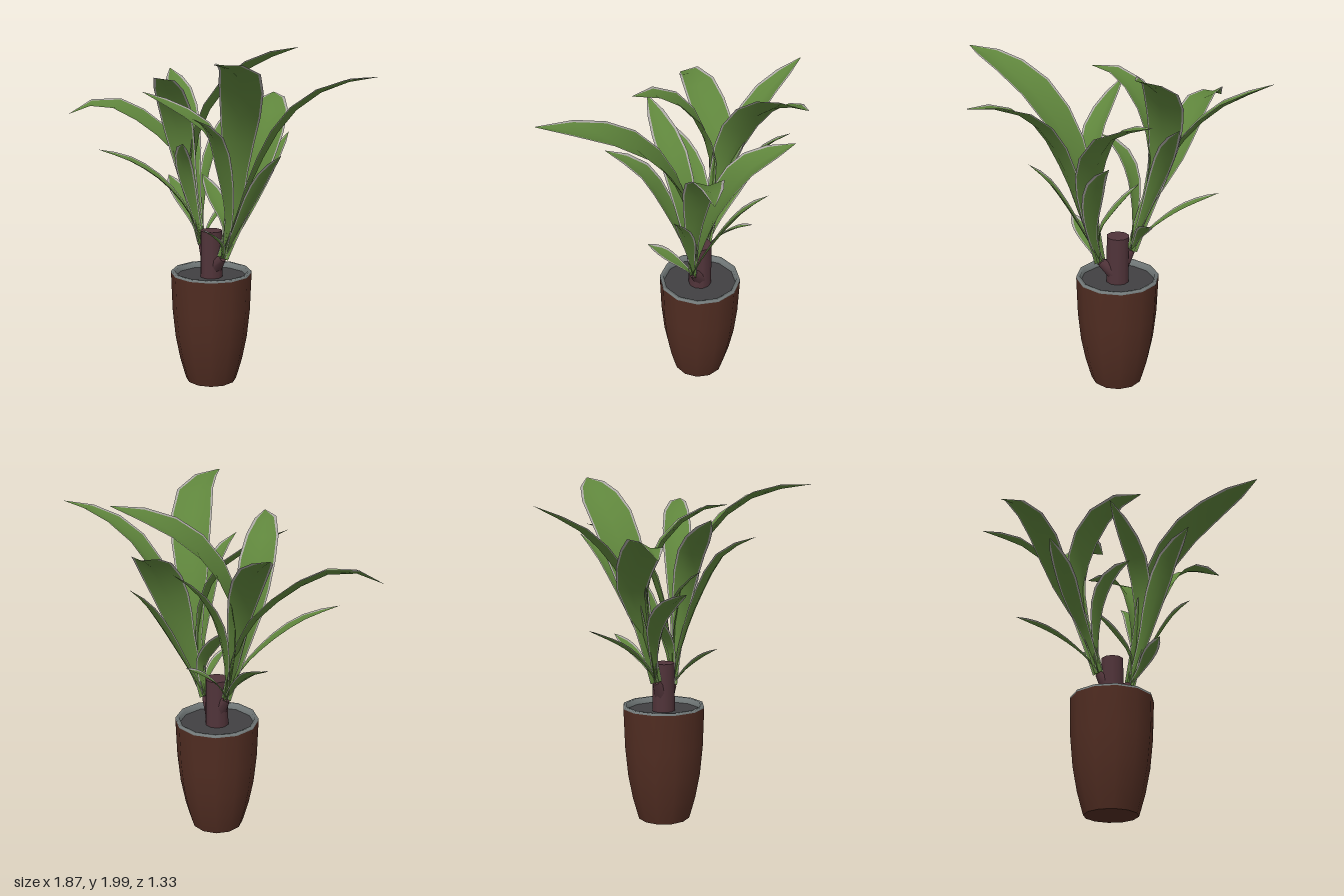
import * as THREE from 'three';

const mat = (name, color, side = THREE.FrontSide) => {
  const m = new THREE.MeshStandardMaterial({ color, side });
  m.name = name;
  return m;
};

const CX = -0.04, CZ = -0.135; // pot axis
const RIGHT = [-0.12, 0.83, -0.16], LEFT = [0.06, 0.78, -0.1]; // shoot tips

// Each leaf: half width, roll about the midrib, then midrib points from above the shoot to the tip
const rightLeaves = [
  [0.09, 0.1, [-0.2, 1.1, -0.21], [-0.29, 1.4, -0.29], [-0.46, 1.68, -0.46], [-0.67, 1.84, -0.67]],
  [0.105, 0.25, [-0.2, 1.1, -0.19], [-0.35, 1.36, -0.24], [-0.6, 1.59, -0.12], [-0.77, 1.65, -0.04], [-0.94, 1.59, 0.05]],
  [0.12, 0.3, [-0.2, 1.15, -0.21], [-0.22, 1.45, -0.28], [-0.13, 1.71, -0.39], [0.02, 1.88, -0.53], [0.25, 1.99, -0.67]],
  [0.1, 0.1, [-0.2, 1.1, -0.17], [-0.27, 1.42, -0.16], [-0.26, 1.67, -0.05], [-0.21, 1.8, 0.1], [-0.12, 1.84, 0.25]],
  [0.062, 0.1, [-0.21, 1.02, -0.15], [-0.35, 1.19, -0.1], [-0.5, 1.32, 0.01], [-0.66, 1.4, 0.13]],
  [0.055, 0.1, [-0.19, 0.93, -0.2], [-0.34, 1.06, -0.29], [-0.53, 1.18, -0.43]],
  [0.055, 0.3, [-0.16, 1.05, -0.13], [-0.18, 1.27, -0.06], [-0.15, 1.4, 0.02], [-0.09, 1.47, 0.1]],
  [0.06, 0.1, [-0.16, 1.1, -0.24], [-0.17, 1.35, -0.35], [-0.13, 1.55, -0.48], [-0.08, 1.67, -0.61]],
  [0.04, 0.2, [-0.11, 0.93, -0.23], [-0.08, 1.02, -0.33], [-0.03, 1.09, -0.43]],
];
const leftLeaves = [
  [0.122, 0.08, [0.13, 1.1, -0.1], [0.18, 1.42, -0.03], [0.29, 1.72, 0.13], [0.4, 1.89, 0.36], [0.44, 1.95, 0.66]],
  [0.088, 0, [0.16, 1.03, -0.1], [0.28, 1.34, -0.12], [0.46, 1.64, -0.16], [0.68, 1.8, -0.21], [0.93, 1.86, -0.24]],
  [0.125, 0, [0.15, 1.08, -0.16], [0.2, 1.4, -0.26], [0.2, 1.62, -0.41], [0.11, 1.72, -0.63]],
  [0.06, 0.1, [0.16, 1.0, -0.17], [0.23, 1.23, -0.28], [0.27, 1.4, -0.39], [0.28, 1.5, -0.5]],
  [0.08, 0.3, [0.11, 1.08, -0.08], [0.09, 1.36, -0.04], [0.0, 1.55, 0.02], [-0.14, 1.66, 0.1], [-0.3, 1.76, 0.19]],
  [0.07, 0.25, [0.12, 1.04, -0.05], [0.14, 1.33, 0.06], [0.15, 1.55, 0.19], [0.14, 1.65, 0.37]],
  [0.055, 0.2, [0.15, 0.95, -0.09], [0.28, 1.18, -0.07], [0.37, 1.32, -0.05], [0.47, 1.43, -0.02]],
  [0.055, 0.2, [0.07, 0.98, -0.12], [-0.01, 1.1, -0.15], [-0.14, 1.25, -0.2]],
  [0.04, 0.3, [0.09, 0.86, -0.04], [0.09, 0.94, 0.06], [0.08, 1.0, 0.16]],
];

// Folded, banked blade swept along the midrib; group 0 is the blade, group 1 the pale margin
function leafGeometry(base, half, roll, points) {
  const curve = new THREE.CatmullRomCurve3([base, ...points].map(p => new THREE.Vector3(...p)));
  const tip = curve.getPoint(1);
  const across = tip.clone().sub(curve.getPoint(0.5)).setY(0).normalize().cross(new THREE.Vector3(0, 1, 0));
  const profile = [0.28, 0.32, 0.42, 0.58, 0.78, 0.94, 1, 0.9, 0.6, 0.02];
  const rows = profile.length, pos = [], blade = [], margin = [];
  profile.forEach((f, i) => {
    const t = i / (rows - 1), p = curve.getPointAt(t), tan = curve.getTangentAt(t);
    const side = across.clone().addScaledVector(tan, -across.dot(tan)).normalize().applyAxisAngle(tan, -roll);
    const up = side.clone().cross(tan).normalize();
    const w = half * f, inner = Math.max(w - (0.003 + 0.013 * t), 0);
    for (const s of [-w, -inner, 0, inner, w]) {
      const q = p.clone().addScaledVector(side, s).addScaledVector(up, Math.abs(s) * 0.3);
      pos.push(q.x, q.y, q.z);
    }
  });
  for (let i = 0; i < rows - 1; i++) {
    for (let j = 0; j < 4; j++) {
      const a = i * 5 + j, b = a + 1, c = a + 5, d = a + 6;
      (j === 0 || j === 3 ? margin : blade).push(a, b, d, a, d, c);
    }
  }
  const g = new THREE.BufferGeometry();
  g.setAttribute('position', new THREE.Float32BufferAttribute(pos, 3));
  g.setIndex([...blade, ...margin]);
  g.addGroup(0, blade.length, 0);
  g.addGroup(blade.length, margin.length, 1);
  g.computeVertexNormals();
  return g;
}

export function createModel() {
  const root = new THREE.Group();
  root.name = 'pottedPlant';
  const terracotta = mat('terracotta', 0x512d22);
  const rimGrey = mat('rimGrey', 0x737a7a);
  const soilGrey = mat('soilGrey', 0x414042);
  const bark = mat('bark', 0x51343a);
  const leafGreen = mat('leafGreen', 0x5f853c, THREE.DoubleSide);
  const leafMargin = mat('leafMargin', 0xaaa7a3, THREE.DoubleSide);

  const add = (parent, name, geometry, material) => {
    const m = new THREE.Mesh(geometry, material);
    m.name = name;
    parent.add(m);
    return m;
  };
  const lathe = pts => new THREE.LatheGeometry(pts.map(p => new THREE.Vector2(...p)), 12);

  // Pot: tapered wall, flat underside, rim and soil
  const pot = new THREE.Group();
  pot.name = 'pot';
  pot.position.set(CX, 0, CZ);
  root.add(pot);
  add(pot, 'potWall', lathe([[0.153, 0], [0.165, 0.04], [0.19, 0.13], [0.217, 0.27], [0.234, 0.44], [0.242, 0.67]]), terracotta);
  add(pot, 'potBase', new THREE.CircleGeometry(0.153, 12).rotateX(Math.PI / 2).rotateY(Math.PI / 2), terracotta);
  add(pot, 'potRim', lathe([[0.242, 0.67], [0.24, 0.682], [0.22, 0.682], [0.216, 0.64]]), rimGrey);
  add(pot, 'soil', new THREE.CircleGeometry(0.218, 12).rotateX(-Math.PI / 2).rotateY(Math.PI / 2), soilGrey).position.y = 0.648;

  // Cut trunk with two short side shoots
  add(root, 'trunk', new THREE.CylinderGeometry(0.066, 0.068, 0.3, 10), bark).position.set(CX, 0.78, CZ);
  const shoot = (name, from, to) => {
    const a = new THREE.Vector3(...from), b = new THREE.Vector3(...to), d = b.clone().sub(a);
    const m = add(root, name, new THREE.CylinderGeometry(0.022, 0.05, d.length(), 8), bark);
    m.position.copy(a).lerp(b, 0.5);
    m.quaternion.setFromUnitVectors(new THREE.Vector3(0, 1, 0), d.normalize());
  };
  shoot('rightShoot', [-0.06, 0.75, -0.14], RIGHT);
  shoot('leftShoot', [-0.01, 0.72, -0.13], LEFT);

  // Leaf clusters
  const cluster = (name, base, leaves) => {
    const g = new THREE.Group();
    g.name = name;
    root.add(g);
    leaves.forEach(([half, roll, ...points], i) =>
      add(g, `leaf${i + 1}`, leafGeometry(base, half, roll, points), [leafGreen, leafMargin]));
  };
  cluster('rightLeafCluster', RIGHT, rightLeaves);
  cluster('leftLeafCluster', LEFT, leftLeaves);
  return root;
}
